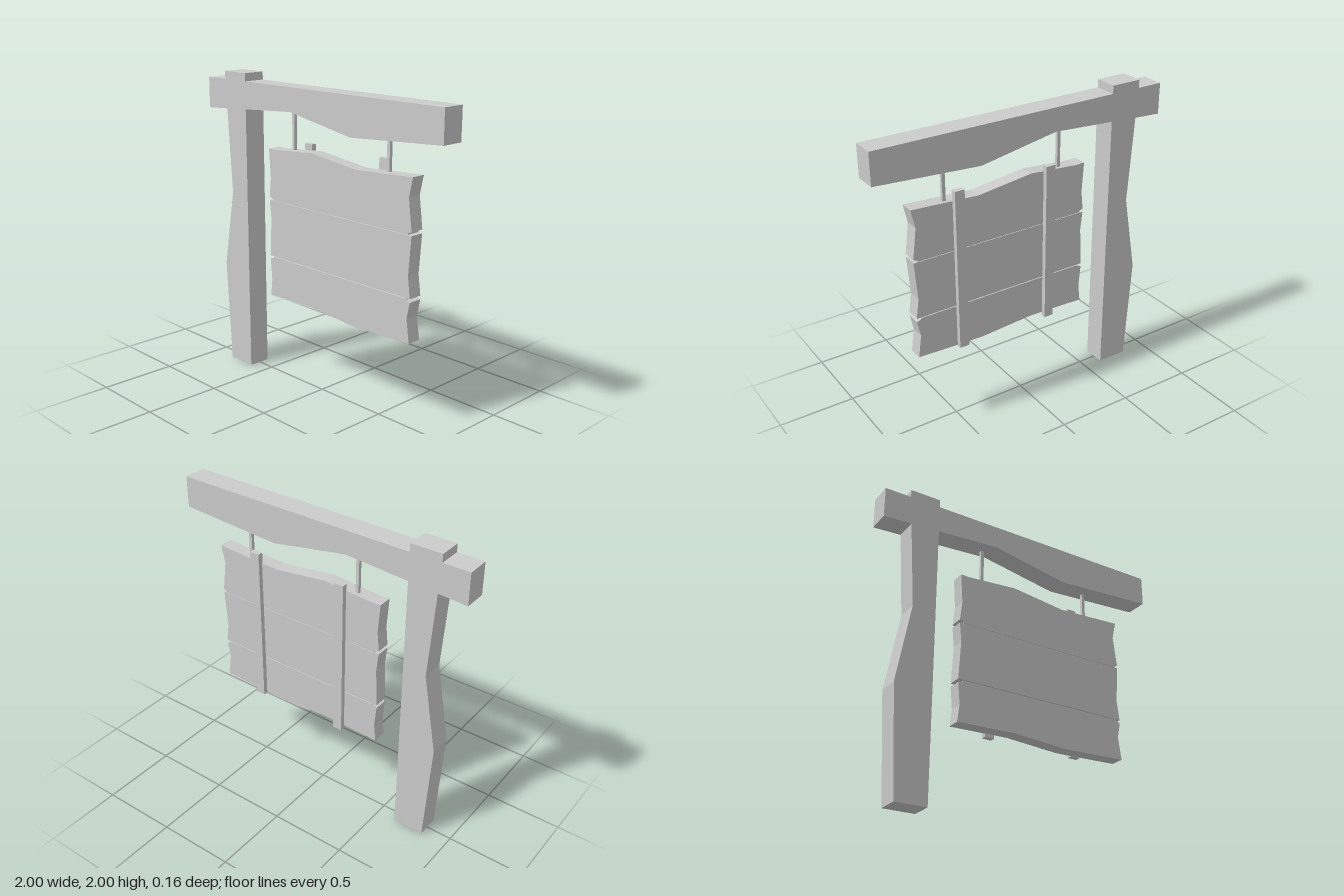
import * as THREE from 'three';

const material = new THREE.MeshStandardMaterial({ color: 0xcccccc, flatShading: true });

// Extrude a front outline between two depths
function slab(name, points, zBack, zFront) {
  const shape = new THREE.Shape(points.map(([x, y]) => new THREE.Vector2(x, y)));
  const geometry = new THREE.ExtrudeGeometry(shape, { depth: zFront - zBack, bevelEnabled: false });
  geometry.translate(0, 0, zBack);
  const mesh = new THREE.Mesh(geometry, material);
  mesh.name = name;
  return mesh;
}

function bar(name, x, yLow, yHigh, z, width, depth) {
  const mesh = new THREE.Mesh(new THREE.BoxGeometry(width, yHigh - yLow, depth), material);
  mesh.position.set(x, (yLow + yHigh) / 2, z);
  mesh.name = name;
  return mesh;
}

export function createModel() {
  const model = new THREE.Group();
  model.name = 'hangingSign';

  // Rough-hewn post and crossbeam, flush with each other
  model.add(slab('postAndBeam', [
    [-0.83, 0], [-0.626, 0], [-0.626, 1.77], [-0.206, 1.797], [0.313, 1.704],
    [1, 1.746], [1, 1.948], [-0.626, 1.948], [-0.626, 2], [-0.828, 2],
    [-0.828, 1.948], [-1, 1.948], [-1, 1.746], [-0.815, 1.757],
    [-0.778, 1.2], [-0.87, 0.69],
  ], -0.07, 0.078));

  // Three planks with notched ends and narrow seams
  const planks = new THREE.Group();
  planks.name = 'signPlanks';
  const outlines = {
    topPlank: [
      [-0.441, 1.222], [-0.412, 1.212], [-0.412, 1.203], [0.741, 1.203], [0.741, 1.212],
      [0.767, 1.222], [0.741, 1.42], [0.767, 1.537], [0.323, 1.513],
      [-0.045, 1.56], [-0.377, 1.535], [-0.441, 1.537], [-0.428, 1.345],
    ],
    middlePlank: [
      [-0.441, 0.827], [0.767, 0.827], [0.749, 0.955], [0.767, 1.2],
      [-0.441, 1.2], [-0.428, 1.078],
    ],
    bottomPlank: [
      [-0.441, 0.552], [-0.377, 0.554], [-0.045, 0.564], [0.323, 0.538], [0.767, 0.553],
      [0.746, 0.703], [0.767, 0.805], [0.738, 0.815], [0.735, 0.822],
      [-0.407, 0.822], [-0.41, 0.815], [-0.441, 0.805], [-0.428, 0.666],
    ],
  };
  for (const [name, points] of Object.entries(outlines)) {
    planks.add(slab(name, points, -0.047, 0.045));
  }
  model.add(planks);

  // Battens holding the planks together at the back
  for (const [side, x] of [['right', -0.168], ['left', 0.465]]) {
    model.add(bar(`${side}Batten`, x, 0.537, 1.591, -0.06, 0.064, 0.036));
  }

  // Thin hangers between beam and planks
  for (const [side, x, top] of [['right', -0.262, 1.82], ['left', 0.538, 1.74]]) {
    model.add(bar(`${side}Hanger`, x, 1.5, top, -0.014, 0.021, 0.021));
  }
  return model;
}
